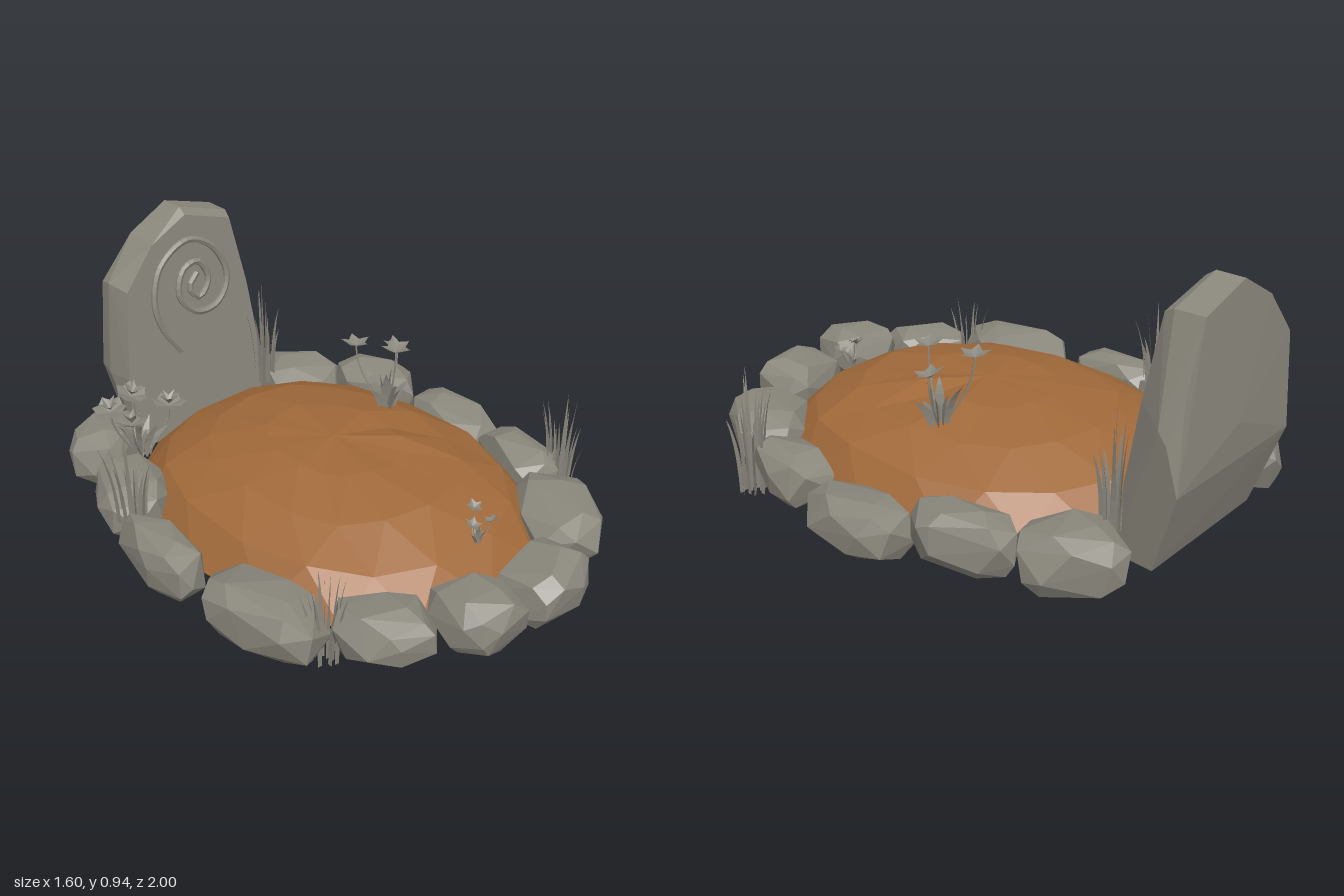
import * as THREE from 'three';
import { ConvexGeometry } from 'three/addons/geometries/ConvexGeometry.js';
import { mergeGeometries } from 'three/addons/utils/BufferGeometryUtils.js';

const V = (x, y, z) => new THREE.Vector3(x, y, z);

export function createModel() {
  const root = new THREE.Group();
  const stone = new THREE.MeshStandardMaterial({ color: 0x8a877c, flatShading: true });
  stone.name = 'grey stone';
  const plant = new THREE.MeshStandardMaterial({ color: 0x88857b, flatShading: true, side: THREE.DoubleSide });
  plant.name = 'grey plant';
  const earth = new THREE.MeshStandardMaterial({ color: 0xa0693a, flatShading: true, side: THREE.DoubleSide });
  earth.name = 'brown earth';

  let seed = 7;
  const rand = () => (seed = (seed * 16807) % 2147483647) / 2147483647;
  const spread = (a) => (rand() * 2 - 1) * a;

  function add(name, geometry, material, parent = root) {
    const mesh = new THREE.Mesh(geometry, material);
    mesh.name = name;
    parent.add(mesh);
    return mesh;
  }

  // Earth mound: an open dome of faceted rings
  const rings = [[0, 0.355], [0.33, 0.345], [0.62, 0.3], [0.85, 0.225], [1, 0.1]];
  const sides = 16, pos = [], idx = [];
  rings.forEach(([r, y], k) => {
    for (let i = 0; i < sides; i++) {
      const a = ((i + (k % 2) * 0.5) / sides) * Math.PI * 2;
      const c = Math.cos(a), s = Math.sin(a);
      const jitter = k > 0 && k < 4 ? spread(0.012) : 0;
      pos.push(-0.01 + 0.63 * r * Math.sign(c) * Math.abs(c) ** 0.88, y + jitter,
        0.01 + 0.78 * r * Math.sign(s) * Math.abs(s) ** 0.88);
    }
  });
  for (let k = 0; k < rings.length - 1; k++) {
    for (let i = 0; i < sides; i++) {
      const j = (i + 1) % sides, a = k * sides, b = a + sides;
      if (k % 2) idx.push(a + i, a + j, b + j, a + i, b + j, b + i);
      else idx.push(a + i, a + j, b + i, a + j, b + j, b + i);
    }
  }
  const dome = new THREE.BufferGeometry();
  dome.setAttribute('position', new THREE.Float32BufferAttribute(pos, 3));
  dome.setIndex(idx);
  dome.computeVertexNormals();
  add('earthMound', dome, earth);

  // Ring of boulders: x range, y range, z range of each
  const boulders = [
    [0.28, 0.58, 0.01, 0.23, -0.89, -0.53], [0.48, 0.72, 0.05, 0.26, -0.62, -0.24],
    [0.58, 0.8, 0.01, 0.2, -0.27, 0.14], [0.52, 0.75, 0.04, 0.22, 0.13, 0.5],
    [0.28, 0.65, 0.03, 0.23, 0.45, 0.87], [-0.02, 0.29, 0.04, 0.25, 0.73, 1],
    [-0.3, -0.03, 0.07, 0.27, 0.73, 1], [-0.56, -0.27, 0.05, 0.24, 0.55, 0.87],
    [-0.78, -0.5, 0.03, 0.24, 0.15, 0.65], [-0.8, -0.62, 0.03, 0.23, -0.26, 0.15],
    [-0.75, -0.46, 0.05, 0.25, -0.59, -0.23], [-0.65, -0.32, 0.03, 0.26, -0.92, -0.59],
  ];
  const ringGroup = new THREE.Group();
  ringGroup.name = 'boulderRing';
  root.add(ringGroup);
  for (const [x0, x1, y0, y1, z0, z1] of boulders) {
    const turn = Math.atan2((x0 + x1) / 2 / 0.68, (z0 + z1) / 2 / 0.85);
    const points = [];
    for (let i = 0; i < 26; i++) {
      const y = 1 - (2 * i + 1) / 26, a = i * 2.4 + spread(0.35), r = Math.sqrt(1 - y * y);
      const soft = (v) => Math.sign(v) * Math.abs(v) ** 0.72;
      points.push(V(soft(r * Math.cos(a)) * 1.35, soft(y) + spread(0.06), soft(r * Math.sin(a)) * 0.95)
        .applyAxisAngle(V(0, 1, 0), turn));
    }
    const box = new THREE.Box3().setFromPoints(points), size = box.getSize(V(0, 0, 0));
    const target = V(x1 - x0, y1 - y0, z1 - z0);
    points.forEach((p) => p.sub(box.min).divide(size).multiply(target).add(V(x0, y0, z0)));
    add('boulder', new ConvexGeometry(points), stone, ringGroup);
  }

  // Headstone: hull of a leaning front outline and a wider back outline
  const faceZ = (y) => -0.775 - (y - 0.24) * 0.105;
  const front = [[-0.33, 0.07], [-0.345, 0.36], [-0.32, 0.56], [-0.3, 0.7], [-0.17, 0.85], [-0.01, 0.93],
    [0.19, 0.87], [0.24, 0.6], [0.27, 0.33], [0.26, 0.07]];
  const back = [[-0.3, 0.07, -0.89], [-0.34, 0.36, -0.985], [-0.31, 0.7, -0.98], [-0.17, 0.86, -0.98],
    [-0.01, 0.95, -0.98], [0.2, 0.89, -0.985], [0.27, 0.67, -0.98], [0.31, 0.52, -0.95], [0.3, 0.36, -0.99],
    [0.27, 0.07, -0.9], [-0.01, 0.5, -1]];
  const middle = [[-0.36, 0.36, -0.9], [-0.32, 0.715, -0.92], [-0.01, 0.952, -0.88], [0.2, 0.89, -0.88], [0.31, 0.56, -0.92]];
  const hull = [...front.map(([x, y]) => V(x, y, faceZ(y))), ...[...back, ...middle].map((p) => V(...p))];
  add('headstone', new ConvexGeometry(hull), stone);

  // Raised spiral on the headstone's face
  const spiral = [[-0.1, 0.41], [-0.165, 0.51], [-0.193, 0.62], [-0.15, 0.76], [-0.015, 0.835], [0.1, 0.775],
    [0.147, 0.65], [0.09, 0.555], [-0.01, 0.545], [-0.08, 0.63], [-0.05, 0.725], [0.02, 0.742], [0.06, 0.665],
    [0.01, 0.6], [-0.03, 0.65], [0.01, 0.7]];
  const path = new THREE.CatmullRomCurve3(spiral.map(([x, y]) => V(x, y, faceZ(y) + 0.003)));
  add('spiralCarving', new THREE.TubeGeometry(path, 64, 0.014, 6), stone);

  // A tapering, bending leaf ribbon from base to tip
  function blade(base, tip, width, leafy = false) {
    const p = [], ix = [], n = 5;
    const a = rand() * Math.PI, sx = Math.cos(a), sz = Math.sin(a);
    for (let i = 0; i <= n; i++) {
      const t = i / n;
      const w = 0.5 * width * (leafy ? 0.25 + Math.sin(Math.PI * t) * 0.8 - 0.25 * t : 1 - t ** 2 * 0.97);
      const x = base.x + (tip.x - base.x) * t * t, z = base.z + (tip.z - base.z) * t * t;
      const y = base.y + (tip.y - base.y) * (1.25 * t - 0.25 * t * t);
      p.push(x - sx * w, y, z - sz * w, x + sx * w, y, z + sz * w);
      if (i < n) ix.push(2 * i, 2 * i + 1, 2 * i + 3, 2 * i, 2 * i + 3, 2 * i + 2);
    }
    const g = new THREE.BufferGeometry();
    g.setAttribute('position', new THREE.Float32BufferAttribute(p, 3));
    g.setIndex(ix);
    g.computeVertexNormals();
    return g;
  }

  // Tufts: centre x, z, bottom, top, base spread, tip spread, blade count, blade width, leafy
  function tuft(name, [x, z, y0, y1, r0, r1, count, width, leafy]) {
    const parts = [];
    for (let i = 0; i < count; i++) {
      const a = i * 2.4, s = Math.sqrt((i + 0.5) / count);
      const c = Math.cos(a) * s, d = Math.sin(a) * s;
      const top = y0 + (y1 - y0) * (i === 1 ? 1 : 0.55 + rand() * 0.4);
      parts.push(blade(V(x + c * r0, y0, z + d * r0), V(x + c * r1, top, z + d * r1), width, leafy));
    }
    add(name, mergeGeometries(parts), plant);
  }
  tuft('grassFrontLeft', [0.7, 0.47, 0.02, 0.47, 0.05, 0.1, 16, 0.018]);
  tuft('grassRight', [-0.69, -0.25, 0.16, 0.5, 0.05, 0.1, 13, 0.018]);
  tuft('grassFrontRight', [-0.55, 0.6, 0.03, 0.38, 0.045, 0.09, 14, 0.016]);
  tuft('grassByHeadstone', [0.28, -0.76, 0.16, 0.6, 0.04, 0.08, 13, 0.02]);
  tuft('cupFlowerLeaves', [-0.47, -0.53, 0.2, 0.37, 0.03, 0.11, 9, 0.03, true]);
  tuft('starFlowerLeaves', [0.32, -0.07, 0.3, 0.47, 0.03, 0.09, 9, 0.035, true]);
  tuft('smallFlowerLeaves', [0.05, 0.66, 0.22, 0.3, 0.01, 0.04, 5, 0.018, true]);

  // Pointed ring of petals with a sunken heart
  function star(radius, depth, petals, notch) {
    const g = new THREE.CircleGeometry(radius, petals * 2).rotateX(-Math.PI / 2);
    const p = g.attributes.position;
    p.setY(0, -depth);
    for (let i = 1; i < p.count; i++) {
      if (i % 2 === 0) p.setXYZ(i, p.getX(i) * notch, -depth * 0.4, p.getZ(i) * notch);
    }
    g.computeVertexNormals();
    return g;
  }

  // Flower heads on thin stems; cup flowers get an upright inner crown
  function flowers(name, root0, heads, radius, depth, petals, notch, crown) {
    const group = new THREE.Group();
    group.name = name;
    root.add(group);
    for (const [x, y, z] of heads) {
      const head = add('flowerHead', star(radius, depth, petals, notch), plant, group);
      head.position.set(x, y, z);
      head.rotation.set(spread(0.25), rand() * 3, spread(0.25));
      if (crown) {
        const inner = star(radius * 0.6, depth * 1.6, 5, 0.55);
        add('flowerCrown', inner.translate(0, depth * 1.1, 0), plant, head);
      }
      const curve = new THREE.QuadraticBezierCurve3(V(...root0), V(x, (root0[1] + y) / 2, z), V(x, y - depth, z));
      add('flowerStem', new THREE.TubeGeometry(curve, 5, radius * 0.07, 4), plant, group);
    }
  }
  flowers('cupFlowers', [-0.47, 0.2, -0.53],
    [[-0.555, 0.415, -0.585], [-0.44, 0.425, -0.615], [-0.36, 0.41, -0.495], [-0.53, 0.4, -0.48]], 0.062, 0.025, 6, 0.8, true);
  flowers('starFlowers', [0.32, 0.3, -0.07],
    [[0.25, 0.58, -0.165], [0.4, 0.54, -0.1], [0.305, 0.595, -0.01]], 0.056, 0.025, 5, 0.58, false);
  flowers('smallFlowers', [0.05, 0.22, 0.66],
    [[0.015, 0.32, 0.67], [0.06, 0.35, 0.63], [0.09, 0.31, 0.675]], 0.03, 0.014, 5, 0.58, false);

  return root;
}
